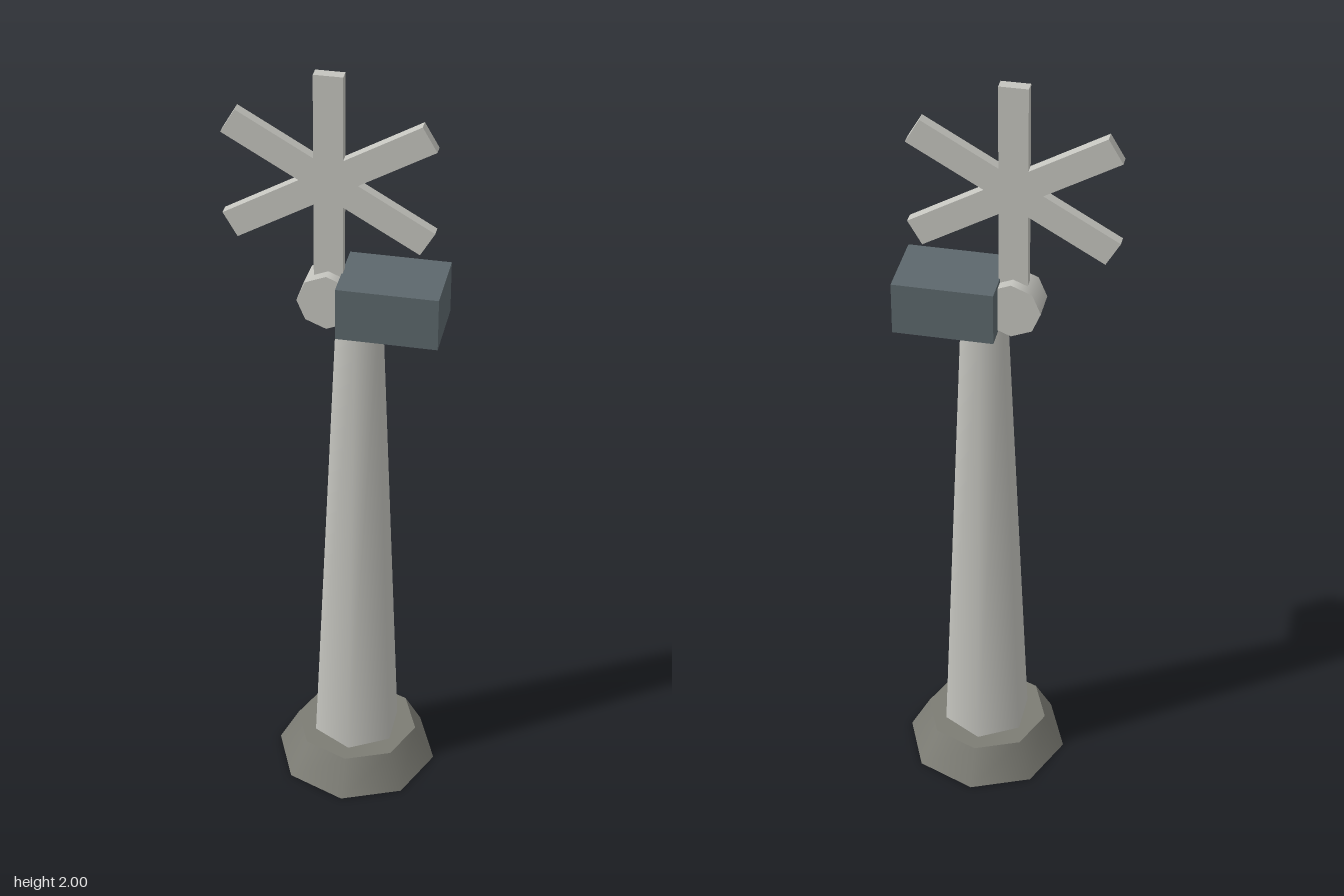
import * as THREE from 'three';

export function createModel() {
  const model = new THREE.Group();
  const material = (color) => new THREE.MeshStandardMaterial({ color });
  const pale = material(0xc4c4be);
  const stone = material(0x7c7c74);
  const slate = material(0x5c676c);

  const add = (name, geometry, mat, x, y, z = 0, parent = model) => {
    const mesh = new THREE.Mesh(geometry, mat);
    mesh.name = name;
    mesh.position.set(x, y, z);
    parent.add(mesh);
    return mesh;
  };

  // Eight-sided footing and six-sided tapering tower
  const towerX = 0.057;
  add('base', new THREE.CylinderGeometry(0.159, 0.21, 0.095, 8), stone, towerX, 0.0475);
  add('tower', new THREE.CylinderGeometry(0.06, 0.115, 1.265, 6), pale, towerX, 0.7275);

  // Machine housing on top of the tower
  add('housing', new THREE.BoxGeometry(0.246, 0.135, 0.18), slate, 0.139, 1.4225);

  // Hub lying front to back at the end of the housing
  const hubX = -0.016;
  const hub = new THREE.CylinderGeometry(0.072, 0.072, 0.08, 8).rotateX(Math.PI / 2);
  add('hub', hub, pale, hubX, 1.42);

  // Rotor outline: six arms joined at their inner corners
  const half = 0.035, length = 0.272, outline = [];
  for (let i = 0; i < 6; i++) {
    const a = Math.PI / 6 + (i * Math.PI) / 3;
    const along = new THREE.Vector2(Math.cos(a), Math.sin(a));
    const side = new THREE.Vector2(-along.y, along.x);
    const corner = (l, s) => along.clone().multiplyScalar(l).addScaledVector(side, s);
    outline.push(corner(length, -half), corner(length, half), corner(half * Math.sqrt(3), half));
  }
  const rotor = new THREE.ExtrudeGeometry(new THREE.Shape(outline), { depth: 0.027, bevelEnabled: false });
  add('rotorBlades', rotor.translate(0, 0, -0.0135), pale, hubX, 2 - length);

  return model;
}
